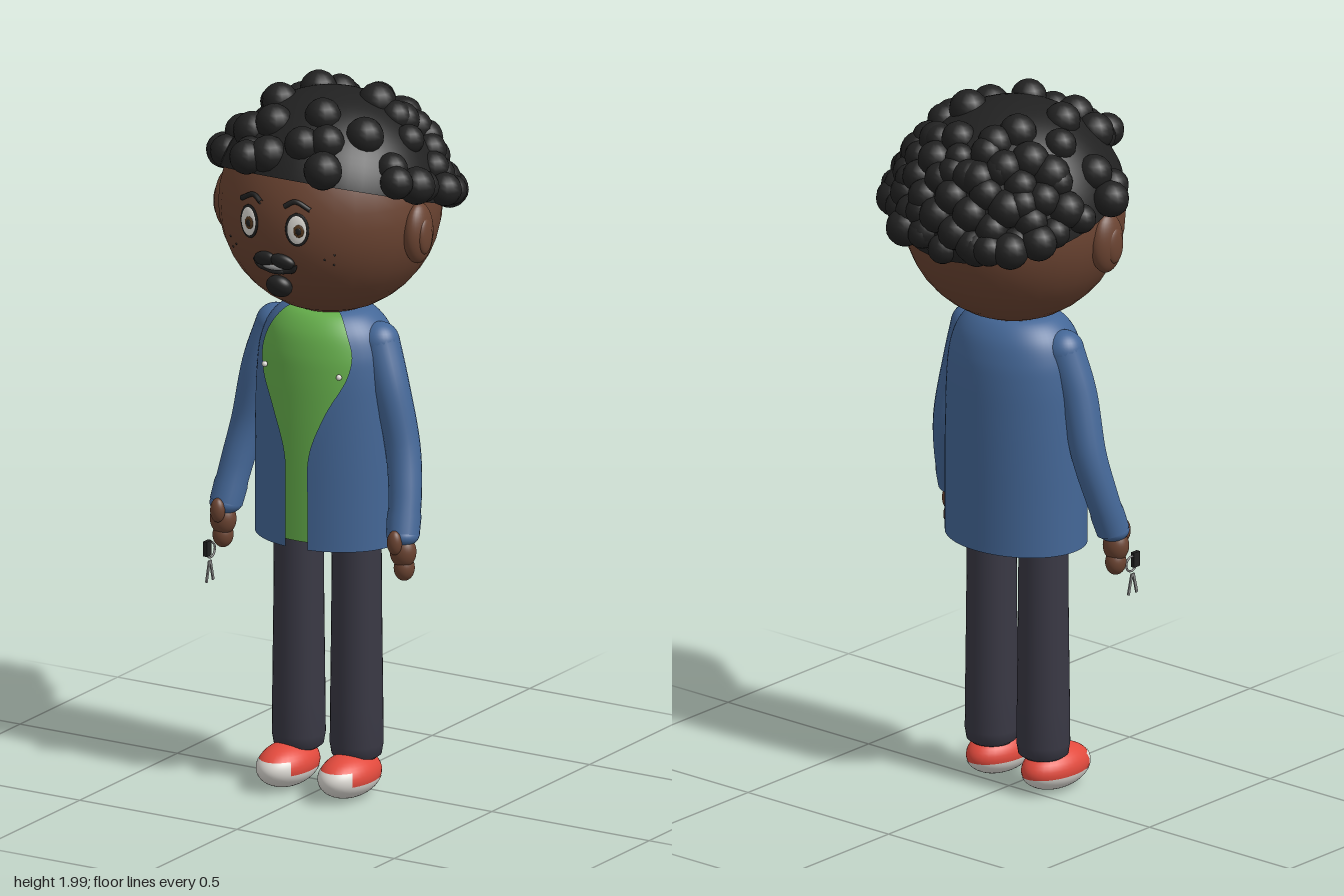
import * as THREE from 'three';
import { mergeGeometries } from 'three/addons/utils/BufferGeometryUtils.js';

const mat = (name, color, side = THREE.FrontSide) => {
  const m = new THREE.MeshStandardMaterial({ color, side });
  m.name = name;
  return m;
};
const HEAD = new THREE.Vector3(0, 1.655, 0.02), HEAD_R = 0.304;

export function createModel() {
  const skin = mat('brown skin', 0x6a4331);
  const hair = mat('black hair', 0x212121, THREE.DoubleSide);
  const blue = mat('blue jacket', 0x446797, THREE.DoubleSide);
  const green = mat('green shirt', 0x65ae4b, THREE.DoubleSide);
  const navy = mat('dark trousers', 0x393844);
  const red = mat('red shoe', 0xe24a3d);
  const white = mat('off white', 0xdedbd5);
  const brown = mat('brown iris', 0x54381f);
  const grey = mat('grey metal', 0x858585);

  const root = new THREE.Group();
  root.name = 'character';
  const add = (name, geo, material, parent = root) => {
    const m = new THREE.Mesh(geo, material);
    m.name = name;
    parent.add(m);
    return m;
  };
  const ball = new THREE.SphereGeometry(1, 32, 20);
  const blob = (name, material, p, s, parent = root) => {
    const m = add(name, ball, material, parent);
    m.position.set(...p);
    m.scale.set(...s);
    return m;
  };

  // ---- Head and ears
  blob('head', skin, HEAD.toArray(), [HEAD_R, HEAD_R, HEAD_R]);
  for (const s of [-1, 1]) {
    blob('ear', skin, [s * 0.3, 1.62, 0.055], [0.034, 0.085, 0.056]);
    blob('innerEar', skin, [s * 0.325, 1.615, 0.06], [0.014, 0.05, 0.03]);
  }

  // ---- Face: flattened shapes laid on the head surface
  const onHead = (x, y, lift = 0) => {
    const n = new THREE.Vector3(x, y - HEAD.y, 0);
    n.z = Math.sqrt(HEAD_R ** 2 - n.x ** 2 - n.y ** 2);
    return n.multiplyScalar(1 + lift / HEAD_R).add(HEAD);
  };
  const faceBlob = (name, material, x, y, w, h, d, lift = 0) => {
    const p = onHead(x, y, lift);
    const m = blob(name, material, p.toArray(), [w, h, d]);
    m.lookAt(p.clone().multiplyScalar(2).sub(HEAD));
    return m;
  };
  const faceLine = (name, pts, r) => add(name, new THREE.TubeGeometry(
    new THREE.CatmullRomCurve3(pts.map(([x, y]) => onHead(x, y, 0.003))), 16, r, 8), hair);
  for (const s of [-1, 1]) {
    const x = s * 0.076;
    faceBlob('eyeOutline', hair, x, 1.66, 0.034, 0.047, 0.005);
    faceBlob('eye', white, x, 1.66, 0.029, 0.042, 0.008);
    faceBlob('iris', brown, x + 0.006, 1.658, 0.015, 0.018, 0.004, 0.007);
    faceBlob('pupil', hair, x + 0.006, 1.658, 0.008, 0.01, 0.003, 0.01);
    faceLine('eyebrow', [[s * 0.037, 1.72], [s * 0.065, 1.735], [s * 0.108, 1.716]], 0.007);
    for (const [fx, fy] of [[0.14, 1.575], [0.16, 1.56], [0.165, 1.59]])
      faceBlob('freckle', hair, s * fx, fy, 0.003, 0.003, 0.002);
    faceBlob('moustacheHalf', hair, s * 0.028, 1.563, 0.036, 0.021, 0.016, 0.004).rotateZ(-s * 0.2);
    faceLine('beardCorner', [[s * 0.06, 1.56], [s * 0.052, 1.54], [s * 0.02, 1.531]], 0.009);
  }
  faceBlob('mouth', grey, 0, 1.546, 0.032, 0.007, 0.008, 0.012);
  faceBlob('lowerLip', hair, 0, 1.532, 0.034, 0.009, 0.012, 0.004);
  faceBlob('goatee', hair, 0, 1.487, 0.038, 0.034, 0.026, 0.012);

  // ---- Hair: tilted cap covered with curls
  const cap = add('hairCap', new THREE.SphereGeometry(0.313, 48, 24, 0, Math.PI * 2, 0, 1.44), hair);
  cap.position.copy(HEAD);
  cap.rotation.x = -0.32;
  let seed = 7;
  const rand = () => (seed = (seed * 16807) % 2147483647) / 2147483647;
  const curls = [];
  const curl = (x, y, z) => {
    const r = 0.04 + rand() * 0.014;
    curls.push(new THREE.SphereGeometry(r, 14, 10).translate(x, y, z));
  };
  const hairline = z => 1.69 + 0.33 * z;
  const placed = [ // x, z in hundredths
    [6, -29], [13, -28], [8, -27], [0, -23], [-8, -22], [-10, -27], [-16, -27], [-21, -24], [-26, -18],
    [-20, -18], [-13, -17], [-7, -14], [-10, -8], [-24, -8], [-19, -1], [-13, 7], [-26, 5], [-30, -5],
    [-32, 5], [-28, 10], [-15, 18], [-8, 18], [-12, 24], [-10, 29], [-5, 26], [5, 14], [4, 23], [10, 20],
    [13, 27], [17, 12], [29, 15], [25, 11], [31, 8], [30, 3], [23, -1], [27, -7], [32, -5], [17, -4],
    [11, -4], [13, -15], [20, -14], [26, -17], [30, -12], [17, -21]];
  for (const [a, b] of placed) {
    const x = a / 100, z = b / 100, R = 0.306;
    const h = Math.sqrt(Math.max(0, R * R - x * x - (z - HEAD.z) ** 2));
    curl(x, Math.max(HEAD.y + h, hairline(z) + 0.045), z);
  }
  // Even spread over the back and the hairline
  for (let i = 0; i < 230; i++) {
    const v = 1 - 2 * (i + 0.5) / 230, a = i * 2.39996, q = Math.sqrt(1 - v * v);
    const x = 0.306 * q * Math.cos(a), y = HEAD.y + 0.306 * v, z = HEAD.z + 0.306 * q * Math.sin(a);
    const above = y - hairline(z);
    if (above > 0.015 && z < -0.06 && q > 0.6) curl(x, y, z);
  }
  add('hairCurls', mergeGeometries(curls), hair);

  // ---- Torso: radius, height and half width of the front opening
  const torso = new THREE.CatmullRomCurve3([
    [0.21, 0.715, 0.035], [0.21, 0.85, 0.035], [0.21, 0.98, 0.038], [0.208, 1.1, 0.082],
    [0.203, 1.2, 0.132], [0.194, 1.26, 0.14], [0.17, 1.32, 0.118], [0.125, 1.362, 0.085],
    [0.05, 1.376, 0.035]].map(p => new THREE.Vector3(...p))).getPoints(48);
  const DEPTH = 0.8, TZ = 0.03, COLS = 48;
  const pos = [], idx = [];
  torso.forEach((p, i) => {
    const a0 = Math.asin(Math.min(p.z / p.x, 0.85));
    for (let j = 0; j <= COLS; j++) {
      const a = a0 + (2 * Math.PI - 2 * a0) * j / COLS;
      pos.push(p.x * Math.sin(a), p.y, TZ + DEPTH * p.x * Math.cos(a));
      if (i && j) {
        const d = i * (COLS + 1) + j, b = d - COLS - 1;
        idx.push(b - 1, b, d, b - 1, d, d - 1);
      }
    }
  });
  const jacket = new THREE.BufferGeometry();
  jacket.setAttribute('position', new THREE.Float32BufferAttribute(pos, 3));
  jacket.setIndex(idx);
  jacket.computeVertexNormals();
  add('jacket', jacket, blue);
  const shirtPts = [new THREE.Vector2(0, 0.735), ...torso.map(p =>
    new THREE.Vector2(p.x * 0.97, Math.max(0.735, p.y - 0.003)))];
  const shirt = add('shirt', new THREE.LatheGeometry(shirtPts, 48), green);
  shirt.scale.z = DEPTH;
  shirt.position.z = TZ;

  for (const s of [-1, 1]) {
    const side = new THREE.Group();
    side.name = s > 0 ? 'leftLimbs' : 'rightLimbs';
    root.add(side);
    blob('jacketButton', white, [s * 0.118, 1.21, 0.168], [0.008, 0.008, 0.008], side);

    // Sleeve: tapered tube with rounded ends
    const path = new THREE.CatmullRomCurve3([[0.165, 1.285, 0.035], [0.205, 1.17, 0.045],
      [0.245, 1.0, 0.045], [0.268, 0.88, 0.07], [0.281, 0.775, 0.103]]
      .map(([x, y, z]) => new THREE.Vector3(s * x, y, z)));
    const sleeve = new THREE.TubeGeometry(path, 32, 0.055, 20);
    const sp = sleeve.attributes.position, v = new THREE.Vector3();
    for (let i = 0; i < sp.count; i++) {
      const t = Math.floor(i / 21) / 32, c = path.getPointAt(t);
      v.fromBufferAttribute(sp, i).sub(c).multiplyScalar(1 - 0.22 * t + (t > 0.9 ? 0.05 : 0)).add(c);
      sp.setXYZ(i, v.x, v.y, v.z);
    }
    add('sleeve', sleeve, blue, side);
    blob('shoulder', blue, [s * 0.165, 1.285, 0.035], [0.055, 0.055, 0.055], side);
    blob('cuff', blue, [s * 0.281, 0.775, 0.103], [0.045, 0.03, 0.045], side);

    // Hand
    blob('palm', skin, [s * 0.286, 0.73, 0.11], [0.037, 0.045, 0.034], side);
    blob('fingers', skin, [s * 0.288, 0.684, 0.107], [0.028, 0.036, 0.03], side);
    blob('thumb', skin, [s * 0.281, 0.763, 0.146], [0.021, 0.034, 0.019], side);

    // Leg
    const legPts = [[0, 0.1], [0.055, 0.1], [0.068, 0.11], [0.073, 0.14], [0.072, 0.25], [0.069, 0.5], [0.067, 0.78]];
    const leg = add('trouserLeg', new THREE.LatheGeometry(legPts.map(p => new THREE.Vector2(...p)), 32), navy, side);
    leg.position.set(s * 0.092, 0, 0.035);

    // Shoe with sole and toe cap
    const shoe = new THREE.Group();
    shoe.name = 'shoe';
    shoe.position.set(s * 0.098, 0.062, 0.079);
    shoe.scale.set(0.072, 0.061, 0.117);
    side.add(shoe);
    add('upper', ball, red, shoe);
    add('sole', new THREE.SphereGeometry(1.015, 40, 12, 0, Math.PI * 2, 1.75, Math.PI - 1.75), white, shoe);
    add('toeCap', new THREE.SphereGeometry(1.012, 24, 12, 0.7, Math.PI - 1.4, 1.12, 0.68), white, shoe);
  }

  // ---- Keys hanging from the right hand
  const keys = new THREE.Group();
  keys.name = 'keys';
  keys.position.x = -0.285;
  root.add(keys);
  const ring = add('keyRing', new THREE.TorusGeometry(0.021, 0.003, 8, 24), grey, keys);
  ring.position.set(0, 0.658, 0.175);
  ring.rotation.y = Math.PI / 2;
  const fob = add('keyFob', new THREE.BoxGeometry(0.012, 0.042, 0.024), hair, keys);
  fob.position.set(0, 0.667, 0.192);
  for (const s of [-1, 1]) {
    const key = add('key', new THREE.BoxGeometry(0.004, 0.06, 0.008), grey, keys);
    key.position.set(0, 0.6, 0.18 + s * 0.01);
    key.rotation.x = -s * 0.25;
  }
  return root;
}
